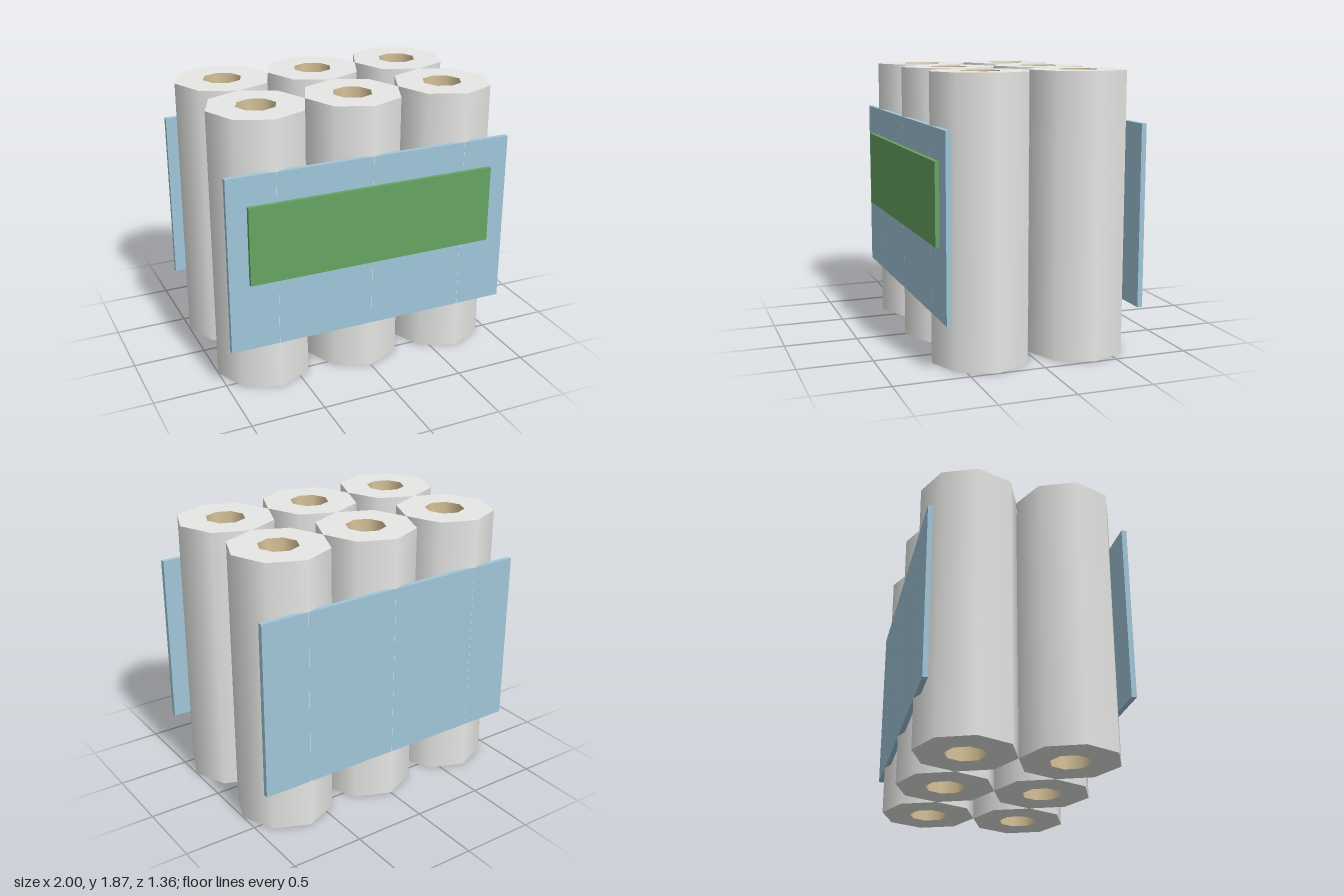
import * as THREE from 'three';

const paper = new THREE.MeshStandardMaterial({ name: 'paperWhite', color: 0xeeeeec });
const card = new THREE.MeshStandardMaterial({ name: 'cardboardTan', color: 0xd9c49a, side: THREE.DoubleSide });
const blue = new THREE.MeshStandardMaterial({ name: 'wrapBlue', color: 0xa0c6d9 });
const green = new THREE.MeshStandardMaterial({ name: 'labelGreen', color: 0x66a562 });

const R = 1 / 3, HOLE = 0.135, H = 1.87, SIDES = 8;

function add(parent, name, geometry, material, x = 0, y = 0, z = 0) {
  const mesh = new THREE.Mesh(geometry, material);
  mesh.name = name;
  mesh.position.set(x, y, z);
  parent.add(mesh);
  return mesh;
}

export function createModel() {
  const model = new THREE.Group();
  model.name = 'rollPack';

  // Shared roll parts: smooth outer wall, flat end rings, open core
  const wall = new THREE.CylinderGeometry(R, R, H, SIDES, 1, true);
  const core = new THREE.CylinderGeometry(HOLE, HOLE, H, SIDES, 1, true);
  const ring = new THREE.RingGeometry(HOLE, R, SIDES);
  const topRing = ring.clone().rotateX(-Math.PI / 2);
  const bottomRing = ring.clone().rotateX(Math.PI / 2);

  // Two rows of three rolls
  for (const z of [0.32, -0.347]) {
    for (const x of [-2 * R, 0, 2 * R]) {
      const roll = new THREE.Group();
      roll.name = 'roll';
      roll.position.set(x, H / 2, z);
      add(roll, 'rollWall', wall, paper);
      add(roll, 'rollCore', core, card);
      add(roll, 'rollTop', topRing, paper, 0, H / 2);
      add(roll, 'rollBottom', bottomRing, paper, 0, -H / 2);
      model.add(roll);
    }
  }

  // Wrapper panels and front label
  const panel = new THREE.BoxGeometry(2, 1.2, 0.034);
  add(model, 'frontPanel', panel, blue, 0, 0.935, 0.636);
  add(model, 'backPanel', panel, blue, 0, 0.935, -0.663);
  add(model, 'label', new THREE.BoxGeometry(1.73, 0.533, 0.028), green, 0, 1.07, 0.667);
  return model;
}
